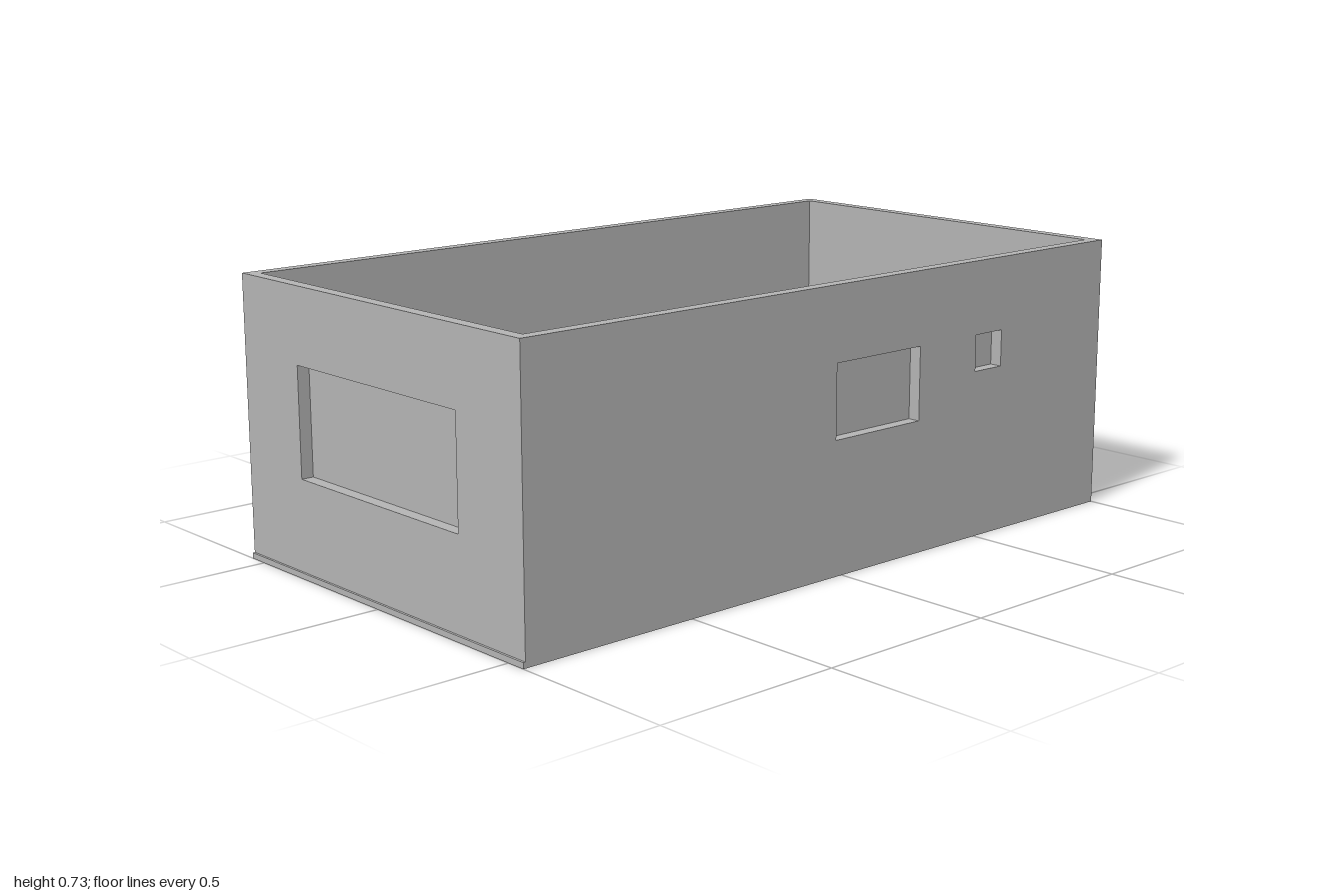
import * as THREE from 'three';

const W = 0.553, H = 0.733, T = 0.033; // half width, height, wall thickness
const FRONT = 0.994, BACK = -1;        // outer faces of the end walls

export function createModel() {
  const grey = new THREE.MeshStandardMaterial({ color: 0xb3b3b3 });
  grey.name = 'plain grey';
  const model = new THREE.Group();
  model.name = 'openBoxHousing';

  // Upright wall from u0 to u1, pierced by openings and closed by thin inner panels.
  // Local +z is the outer side, the inner face lies on z = 0.
  function wall(name, u0, u1, openings = []) {
    const group = new THREE.Group();
    group.name = name;
    const shape = new THREE.Shape([[u0, 0], [u1, 0], [u1, H], [u0, H]].map(p => new THREE.Vector2(...p)));
    for (const [a, b, c, d] of openings) {
      shape.holes.push(new THREE.Path([[a, c], [a, d], [b, d], [b, c]].map(p => new THREE.Vector2(...p))));
      const panel = new THREE.Mesh(new THREE.BoxGeometry(b - a + 0.014, d - c + 0.014, 0.006), grey);
      panel.name = name + 'RecessPanel';
      panel.position.set((a + b) / 2, (c + d) / 2, -0.003);
      group.add(panel);
    }
    const slab = new THREE.Mesh(new THREE.ExtrudeGeometry(shape, { depth: T, bevelEnabled: false }), grey);
    slab.name = name + 'Slab';
    group.add(slab);
    model.add(group);
    return group;
  }

  // End walls span the full width
  wall('frontWall', -W, W, [[-0.318, 0.318, 0.253, 0.537]]).position.z = FRONT - T;
  const back = wall('backWall', -W, W);
  back.rotation.y = Math.PI;
  back.position.z = BACK + T;

  // Side walls fit between the end walls; on the left one, local u runs along -z
  const left = wall('leftWall', -(FRONT - T), -(BACK + T), [
    [-0.027, 0.273, 0.348, 0.54],
    [0.487, 0.588, 0.444, 0.54],
  ]);
  left.rotation.y = Math.PI / 2;
  left.position.x = W - T;
  const right = wall('rightWall', BACK + T, FRONT - T);
  right.rotation.y = -Math.PI / 2;
  right.position.x = -(W - T);

  // Low lip along the foot of the front wall
  const lip = new THREE.Mesh(new THREE.BoxGeometry(2 * W, 0.015, 1 - FRONT), grey);
  lip.name = 'frontLip';
  lip.position.set(0, 0.0075, (1 + FRONT) / 2);
  model.add(lip);

  return model;
}
